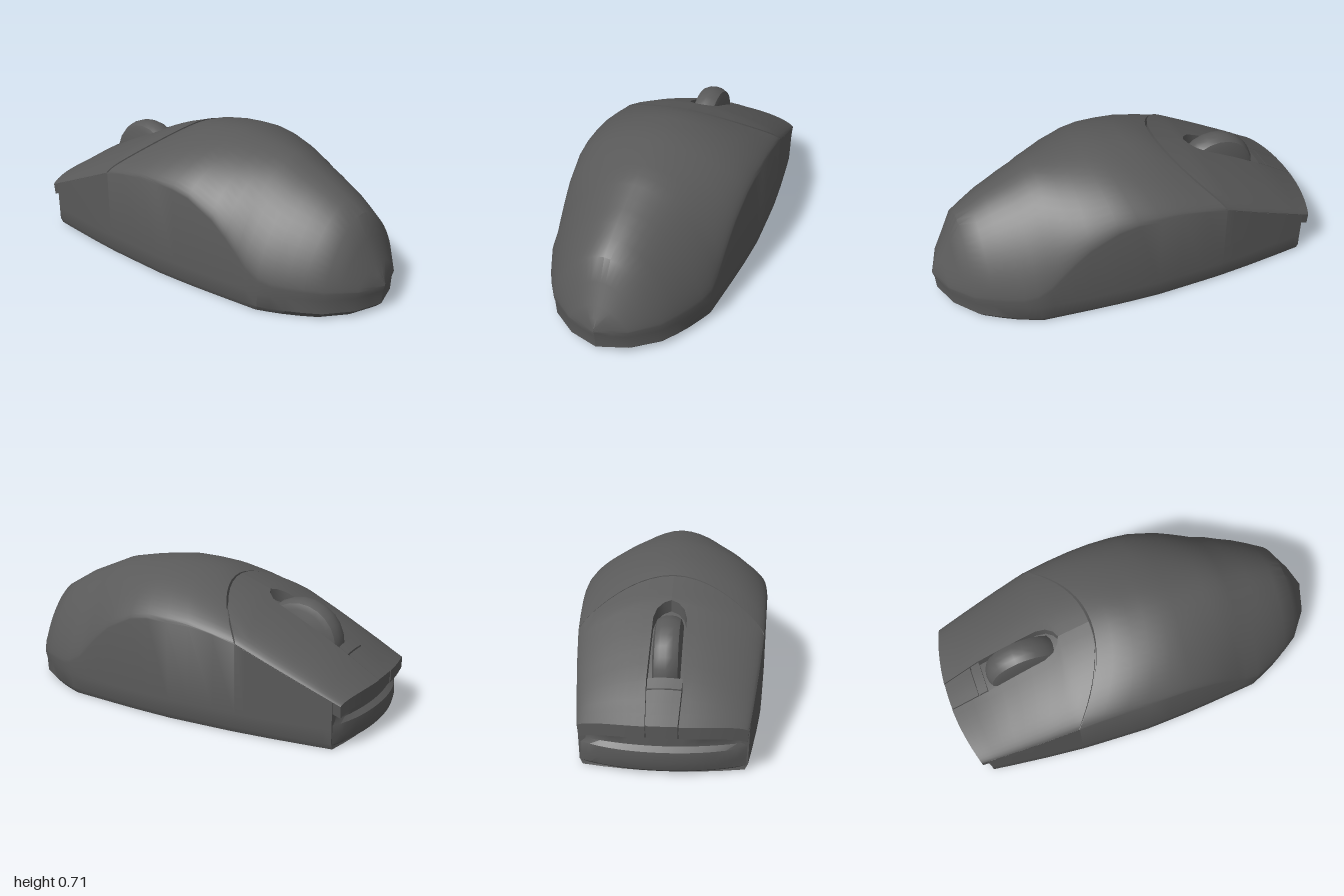
import * as THREE from 'three';
import { toCreasedNormals } from 'three/addons/utils/BufferGeometryUtils.js';

const material = new THREE.MeshStandardMaterial({ color: 0x5a5a5a, side: THREE.DoubleSide });

// Piecewise-linear lookup in a table of [key, value] sorted by key
function lookup(table, k) {
  if (k <= table[0][0]) return table[0][1];
  for (let i = 1; i < table.length; i++) {
    const [k1, v1] = table[i], [k0, v0] = table[i - 1];
    if (k <= k1) return v0 + (v1 - v0) * (k - k0) / (k1 - k0);
  }
  return table[table.length - 1][1];
}

// Profiles along z: half width, ridge height, top of side wall, bend of cross rows
const WIDTH = [[-0.94, 0.385], [-0.8, 0.405], [-0.6, 0.43], [-0.4, 0.45], [-0.05, 0.465], [0.2, 0.455],
  [0.57, 0.425], [0.68, 0.38], [0.84, 0.29], [0.95, 0.15], [1, 0]];
const RIDGE = [[-1, 0.26], [-0.8, 0.39], [-0.6, 0.495], [-0.37, 0.6], [-0.2, 0.66], [-0.12, 0.69], [0, 0.705],
  [0.13, 0.71], [0.3, 0.69], [0.45, 0.66], [0.7, 0.55], [0.85, 0.46], [1, 0.14]];
const WALL = [[-1, 0.2], [-0.94, 0.22], [-0.4, 0.46], [-0.2, 0.5], [0.1, 0.5], [0.25, 0.45], [0.4, 0.32],
  [0.5, 0.21], [0.6, 0.15], [1, 0.13]];
const BEND = [[-1, 0.06], [-0.2, -0.22], [0.3, 0]];

// Point on the crowned top; u runs from -1 (right edge) to 1 (left edge)
function crown(zc, u) {
  const z = zc + lookup(BEND, zc) * u * u;
  const e = lookup(WALL, z);
  const rise = Math.pow(Math.max(0, 1 - Math.pow(Math.abs(u), 1.8)), 1 / 1.4);
  return new THREE.Vector3(u * lookup(WIDTH, z), e + (lookup(RIDGE, z) - e) * rise, z);
}

// Mesh from rows of points
function skin(name, rows, crease = 0.6) {
  const n = rows[0].length, index = [];
  for (let i = 0; i < rows.length - 1; i++) {
    for (let j = 0; j < n - 1; j++) {
      const a = i * n + j, b = a + n;
      index.push(a, b, a + 1, b, b + 1, a + 1);
    }
  }
  const geo = new THREE.BufferGeometry().setFromPoints(rows.flat());
  geo.setIndex(index);
  const mesh = new THREE.Mesh(toCreasedNormals(geo, crease), material);
  mesh.name = name;
  return mesh;
}

// Thin cover on the crown with a skirt folded down on all edges
function cover(name, zs, cols, uAt, drop = 0.06) {
  const rows = [];
  for (let i = -1; i <= zs.length; i++) {
    const row = [], zc = zs[THREE.MathUtils.clamp(i, 0, zs.length - 1)];
    for (let j = -1; j <= cols + 1; j++) {
      const outside = i < 0 || i === zs.length || j < 0 || j > cols;
      const p = crown(zc, uAt(zc, THREE.MathUtils.clamp(j, 0, cols) / cols));
      p.y += 0.004;
      if (outside) {
        p.y -= drop;
        if (Math.abs(p.x) > 0.2) p.x *= 0.985;
      }
      row.push(p);
    }
    rows.push(row);
  }
  return skin(name, rows);
}

export function createModel() {
  const model = new THREE.Group();

  // Body shell: closed loops of crown, side walls and underside; sunk beneath the buttons
  const bodyZ = [1, 0.975, 0.95, 0.9, 0.85, 0.77, 0.7, 0.63, 0.57, 0.5, 0.45, 0.38, 0.3, 0.2, 0.13, 0.05, -0.03,
    -0.12, -0.2, -0.205, -0.28, -0.37, -0.48, -0.6, -0.7, -0.8, -0.88, -0.94];
  const N = 28;
  const foot = [[0.1, 0.99], [0.03, 0.985], [0, 0.95]];
  const edgePoint = (zc, u, [y, s]) => {
    const p = crown(zc, u);
    return new THREE.Vector3(p.x * s, y, p.z > 0 ? p.z * s : p.z);
  };
  const rows = bodyZ.map((zc) => {
    const loop = [];
    for (let j = 0; j <= N; j++) {
      const u = Math.cos(Math.PI * j / N);
      const p = crown(zc, u);
      if (zc < -0.2) p.y -= 0.06 * (1 - Math.pow(Math.abs(u), 6));
      loop.push(p);
    }
    foot.forEach((f) => loop.push(edgePoint(zc, -1, f)));
    for (let j = 1; j < 8; j++) loop.push(edgePoint(zc, -1 + j / 4, foot[2]));
    [...foot].reverse().forEach((f) => loop.push(edgePoint(zc, 1, f)));
    loop.push(loop[0].clone());
    return loop;
  });
  rows.push(rows[0].map(() => new THREE.Vector3(0, 0.1, -0.925)));
  model.add(skin('bodyShell', rows));

  // Button cover halves around the wheel slot
  const SLOT = [[-1, 0.075], [-0.8, 0.085], [-0.47, 0.08], [-0.42, 0.065], [-0.39, 0.035], [-0.375, 0]];
  const buttonZ = [-0.212, -0.28, -0.34, -0.375, -0.39, -0.42, -0.47, -0.55, -0.63, -0.72, -0.8, -0.88, -0.94, -1];
  const inner = (zc) => lookup(SLOT, zc) / lookup(WIDTH, zc);
  const spread = (zc, t) => inner(zc) + (1 - inner(zc)) * Math.sin(t * Math.PI / 2);
  model.add(cover('leftButton', buttonZ, 12, (zc, t) => spread(zc, 1 - t)));
  model.add(cover('rightButton', buttonZ, 12, (zc, t) => -spread(zc, t)));

  // Bridge between the buttons, ahead of the wheel
  const across = (zc, t) => (1 - 2 * t) * (inner(zc) - 0.012);
  model.add(cover('centreBridge', [-0.843, -0.9, -0.95, -0.998], 4, across));
  model.add(cover('slotEnd', [-0.79, -0.837], 4, across));

  // Nose: groove under the button lip and the protruding base lip
  const noseProfile = [[0.215, 0.02], [0.18, 0.045], [0.14, 0.045], [0.12, 0.02], [0.07, 0.015], [0.025, 0.028],
    [0, 0.06]];
  model.add(skin('noseLip', noseProfile.map(([y, inset]) => {
    const row = [];
    for (let j = 0; j <= 16; j++) {
      const u = 1 - j / 8;
      const depth = THREE.MathUtils.lerp(inset, Math.max(inset, 0.04), Math.pow(u, 4));
      row.push(new THREE.Vector3(u * 0.385 * (y === 0 ? 0.95 : 0.99), y, -1 + 0.06 * u * u + depth));
    }
    return row;
  })));

  // Scroll wheel
  const tyre = [[0, -0.065], [0.17, -0.065], [0.198, -0.055], [0.211, -0.03], [0.215, 0], [0.211, 0.03],
    [0.198, 0.055], [0.17, 0.065], [0, 0.065]].map(([r, y]) => new THREE.Vector2(r, y));
  const wheel = new THREE.Mesh(toCreasedNormals(new THREE.LatheGeometry(tyre, 24), 0.7), material);
  wheel.name = 'scrollWheel';
  wheel.rotation.z = Math.PI / 2;
  wheel.position.set(0, 0.37, -0.56);
  model.add(wheel);

  return model;
}
